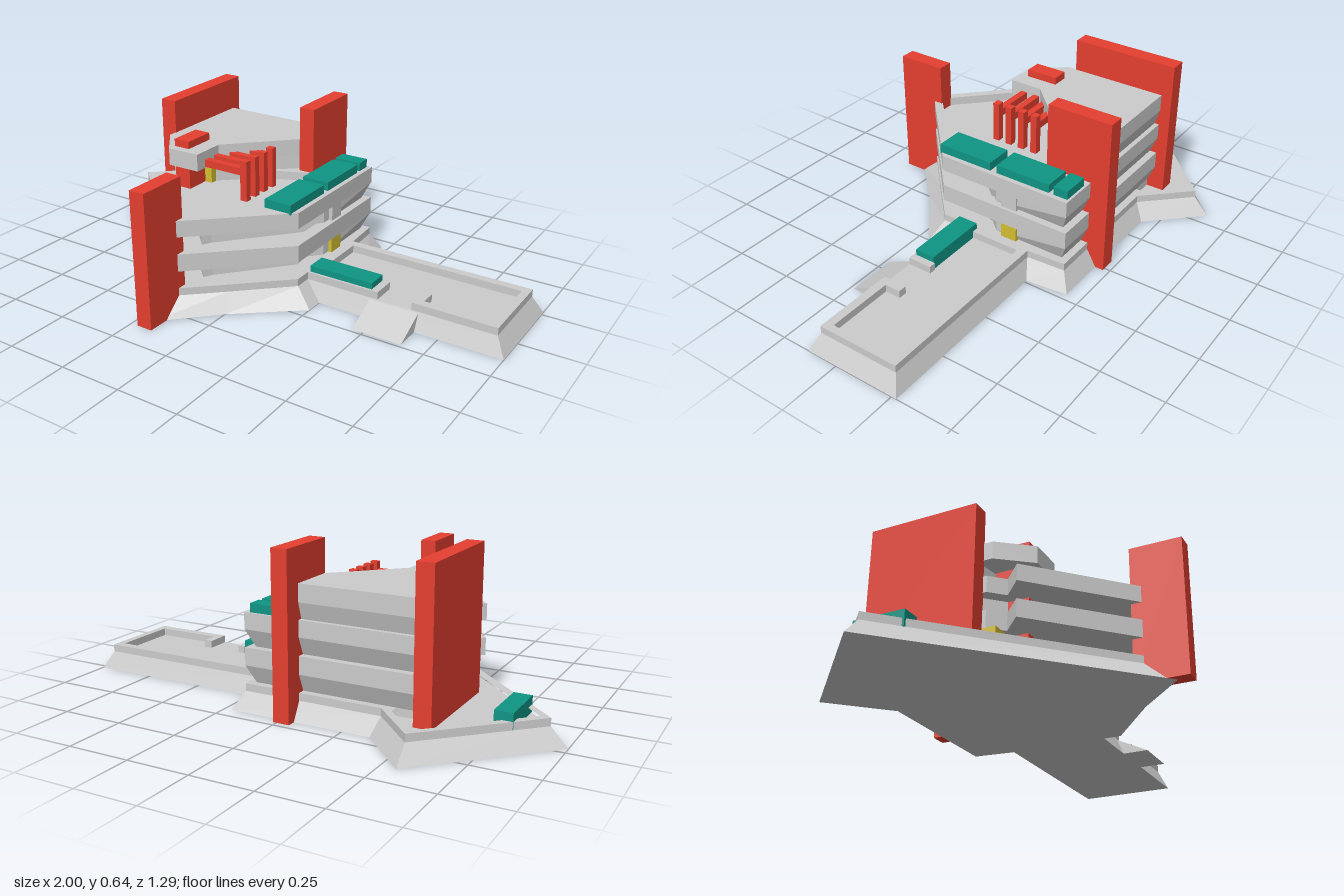
import * as THREE from 'three';

const mat = (color) => new THREE.MeshStandardMaterial({ color, flatShading: true });

export function createModel() {
  const model = new THREE.Group();
  const grey = mat(0xcccccc), red = mat(0xe53f30), teal = mat(0x0f9585), yellow = mat(0xd4bf30);

  const add = (name, geometry, material = grey) => {
    const mesh = new THREE.Mesh(geometry, material);
    mesh.name = name;
    model.add(mesh);
    return mesh;
  };

  // Box given by its extents
  const box = (name, x0, x1, y0, y1, z0, z1, material) => {
    const g = new THREE.BoxGeometry(x1 - x0, y1 - y0, z1 - z0);
    g.translate((x0 + x1) / 2, (y0 + y1) / 2, (z0 + z1) / 2);
    return add(name, g, material);
  };

  // Upright prism from a plan of [x, z] points, with optional holes
  const plate = (name, plan, y0, y1, holes = [], material) => {
    const to2D = (pts) => pts.map(([x, z]) => new THREE.Vector2(x, -z));
    const shape = new THREE.Shape(to2D(plan));
    holes.forEach((h) => shape.holes.push(new THREE.Path(to2D(h))));
    const g = new THREE.ExtrudeGeometry(shape, { depth: y1 - y0, bevelEnabled: false });
    g.rotateX(-Math.PI / 2);
    g.translate(0, y0, 0);
    return add(name, g, material);
  };

  // Solid between two plans with matching corners, for sloping sides
  const loft = (name, low, high, y0, y1, material) => {
    const n = low.length, pos = [];
    const put = (p, y) => pos.push(p[0], y, p[1]);
    const flat = (pts) => pts.map(([x, z]) => new THREE.Vector2(x, -z));
    const clockwise = THREE.ShapeUtils.isClockWise(flat(low));
    const a = clockwise ? low.slice().reverse() : low;
    const b = clockwise ? high.slice().reverse() : high;
    for (let i = 0; i < n; i++) {
      const j = (i + 1) % n;
      put(a[i], y0); put(a[j], y0); put(b[j], y1);
      put(a[i], y0); put(b[j], y1); put(b[i], y1);
    }
    THREE.ShapeUtils.triangulateShape(flat(b), []).forEach((t) => t.forEach((k) => put(b[k], y1)));
    THREE.ShapeUtils.triangulateShape(flat(a), []).forEach(([p, q, r]) => [p, r, q].forEach((k) => put(a[k], y0)));
    const g = new THREE.BufferGeometry();
    g.setAttribute('position', new THREE.Float32BufferAttribute(pos, 3));
    g.computeVertexNormals();
    return add(name, g, material);
  };

  // Sloping podium
  const foot = [[-1, -0.21], [-0.56, -0.645], [-0.36, -0.44], [0.22, -0.44], [0.24, -0.27], [1, -0.27],
    [1, 0.13], [0.25, 0.13], [0.25, 0.2], [0, 0.4], [-0.19, 0.59]];
  const deck = [[-0.935, -0.21], [-0.56, -0.58], [-0.385, -0.4], [0.18, -0.4], [0.19, -0.24], [0.96, -0.24],
    [0.96, 0.1], [0.18, 0.1], [0.18, 0.17], [-0.02, 0.355], [-0.19, 0.51]];
  loft('podium', foot, deck, 0, 0.07);

  // Podium parapet, running round the wing and its gateway
  const wingInside = [[0.625, 0.1], [0.625, 0], [0.66, 0], [0.66, 0.065], [0.93, 0.065], [0.93, -0.205],
    [0.21, -0.205], [0.21, 0.065], [0.455, 0.065], [0.455, 0], [0.485, 0], [0.485, 0.1]];
  const parapet = [...deck.slice(0, 7), ...wingInside, ...deck.slice(7)];
  const cornerWell = [[-0.895, -0.21], [-0.765, -0.34], [-0.765, -0.085]];
  const terraceWell = [[-0.73, -0.38], [-0.56, -0.545], [-0.43, -0.41], [-0.43, -0.05], [0.1, -0.05],
    [0.12, 0.165], [-0.19, 0.465], [-0.73, -0.06]];
  plate('podiumParapet', parapet, 0.07, 0.1, [cornerWell, terraceWell]);

  // Entrance ramp
  const ramp = new THREE.ExtrudeGeometry(
    new THREE.Shape([[0, 0], [0.235, 0], [0.1, 0.066], [0, 0.066]].map(([z, y]) => new THREE.Vector2(-z, y))),
    { depth: 0.2, bevelEnabled: false });
  ramp.rotateY(Math.PI / 2);
  ramp.translate(0.455, 0, 0);
  add('entranceRamp', ramp);

  // Balcony storeys: recessed walls below a cantilevered slab with a parapet
  const slab = [[-0.53, -0.4], [0.18, -0.4], [0.18, 0.17], [-0.19, 0.51], [-0.56, 0.155], [-0.475, 0.075], [-0.53, 0.02]];
  const balconyWell = [[-0.19, 0.465], [0.13, 0.165], [0.13, -0.05], [-0.4, -0.05], [-0.43, 0.09], [-0.505, 0.16]];
  const roofWell = [[-0.19, 0.465], [0.02, 0.27], [0.02, -0.21], [-0.35, -0.05], [-0.43, 0.09], [-0.505, 0.16]];
  const wallLow = [[-0.53, -0.37], [0.15, -0.37], [0.15, -0.065], [-0.15, 0.275], [-0.17, 0.31], [-0.53, -0.05]];
  const wallHigh = [[-0.53, -0.4], [0.18, -0.4], [0.15, -0.065], [-0.15, 0.275], [-0.17, 0.31], [-0.53, -0.05]];
  [0.1, 0.24].forEach((y, i) => {
    plate('wallFoot', wallLow, y - 0.03, y);
    loft('recessedWall', wallLow, wallHigh, y, y + 0.07);
    plate('balconyFloor', slab, y + 0.07, y + 0.1);
    plate('balconyParapet', slab, y + 0.1, i ? 0.375 : 0.24, [i ? roofWell : balconyWell]);
    box('sideWindow', 0.1, 0.168, y, y + 0.07, -0.17, -0.1, i ? grey : yellow);
  });

  // Penthouse with an overhanging roof
  const houseLow = [[-0.53, -0.37], [0, -0.37], [0, -0.23], [-0.06, -0.23], [-0.33, 0.01], [-0.53, -0.02]];
  const houseHigh = houseLow.map(([x, z]) => [x, z < -0.3 ? -0.4 : z]);
  loft('penthouseWall', houseLow, houseHigh, 0.34, 0.44);
  plate('penthouseRoof', [[-0.53, -0.4], [0, -0.4], [0, -0.21], [-0.05, -0.21], [-0.29, 0.03], [-0.29, 0.17],
    [-0.43, 0.17], [-0.53, 0.04]], 0.44, 0.51);

  // Yellow doors
  box('terraceDoor', -0.53, -0.43, 0.07, 0.17, -0.04, 0.06, yellow);
  box('penthouseDoor', -0.365, -0.325, 0.34, 0.44, -0.03, 0.035, yellow);

  // Red blade walls and column
  box('frontBlade', -0.22, -0.155, 0, 0.54, 0.44, 0.645, red);
  box('backBlade', -0.053, 0.013, 0, 0.645, -0.475, -0.205, red);
  box('sideBlade', -0.595, -0.527, 0.07, 0.645, -0.445, 0.005, red);
  box('column', -0.428, -0.358, 0.07, 0.54, 0, 0.135, red);

  // Pergola: beams reaching from the penthouse roof to posts
  [-0.0725, -0.0125, 0.0475, 0.1075].forEach((z) => {
    const start = Math.max(-0.29, -0.27 - z);
    box('pergolaBeam', Math.min(start, -0.2), -0.09, 0.445, 0.475, z - 0.0135, z + 0.0135, red);
    box('pergolaPost', -0.12, -0.09, 0.34, 0.505, z - 0.0135, z + 0.0135, red);
  });

  // Teal planters on the roof, wing and corner
  [[-0.39, -0.33], [-0.31, -0.075], [-0.045, 0.195]].forEach(([z0, z1]) =>
    box('roofPlanter', 0.045, 0.16, 0.37, 0.41, z0, z1, teal));
  box('wingPlanter', 0.185, 0.455, 0.07, 0.125, 0.005, 0.09, teal);
  box('cornerPlanter', -0.835, -0.765, 0.07, 0.132, -0.31, -0.105, teal);

  return model;
}
